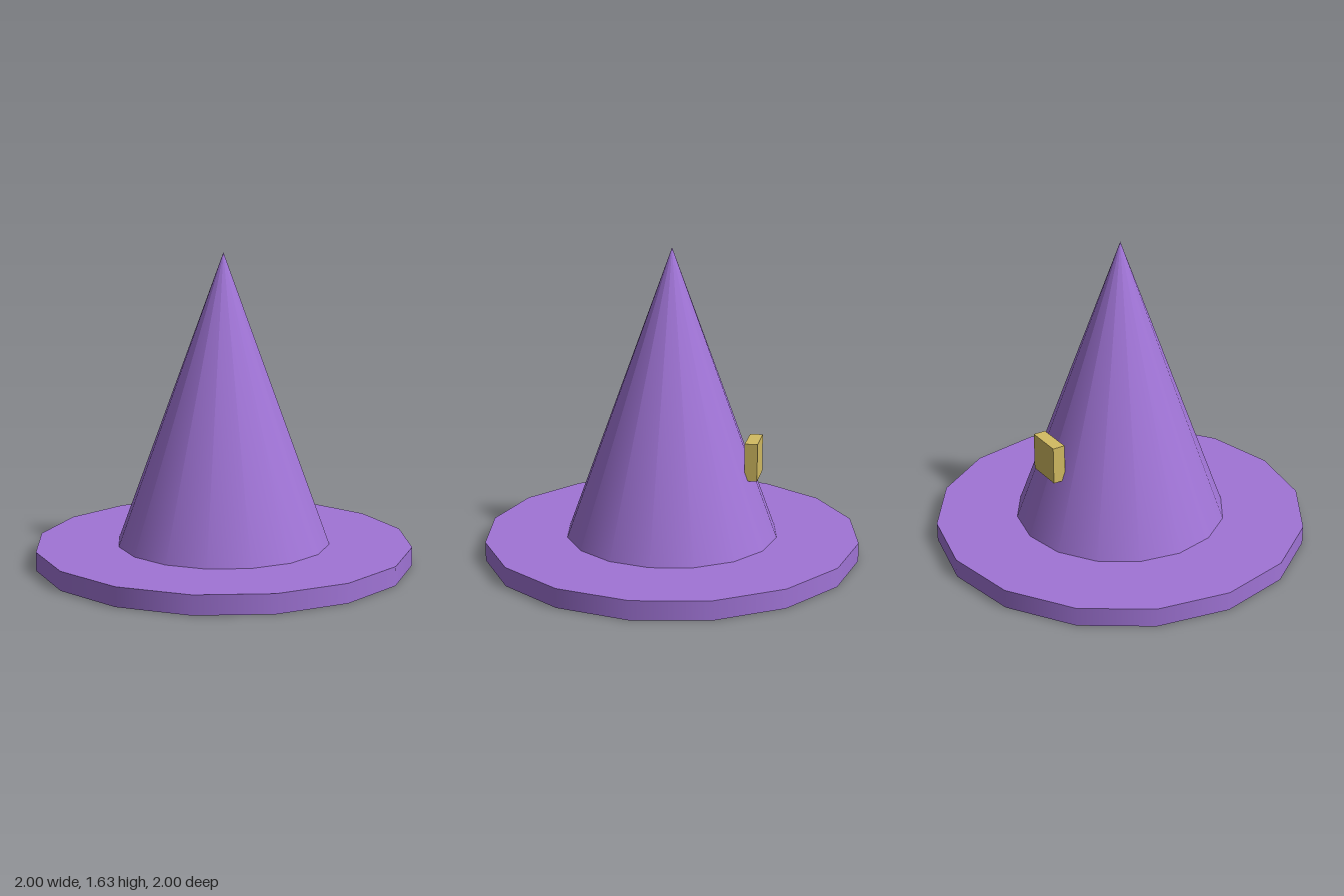
import * as THREE from 'three';

export function createModel() {
  const model = new THREE.Group();
  model.name = 'pointedHat';

  const purple = new THREE.MeshStandardMaterial({ color: 0xa074d6 });
  purple.name = 'purple felt';
  const gold = new THREE.MeshStandardMaterial({ color: 0xd2bb62 });
  gold.name = 'gold';

  const add = (name, geometry, material, y, z = 0) => {
    const mesh = new THREE.Mesh(geometry, material);
    mesh.name = name;
    mesh.position.set(0, y, z);
    model.add(mesh);
  };

  // Flat sixteen-sided brim
  add('brim', new THREE.CylinderGeometry(1, 1, 0.1, 16), purple, 0.05);

  // Tall cone, its foot sunk into the brim
  add('crown', new THREE.ConeGeometry(0.592, 1.6, 16), purple, 0.83);

  // Square buckle set into the back of the crown
  add('buckle', new THREE.BoxGeometry(0.2, 0.2, 0.067), gold, 0.535, -0.437);

  return model;
}
